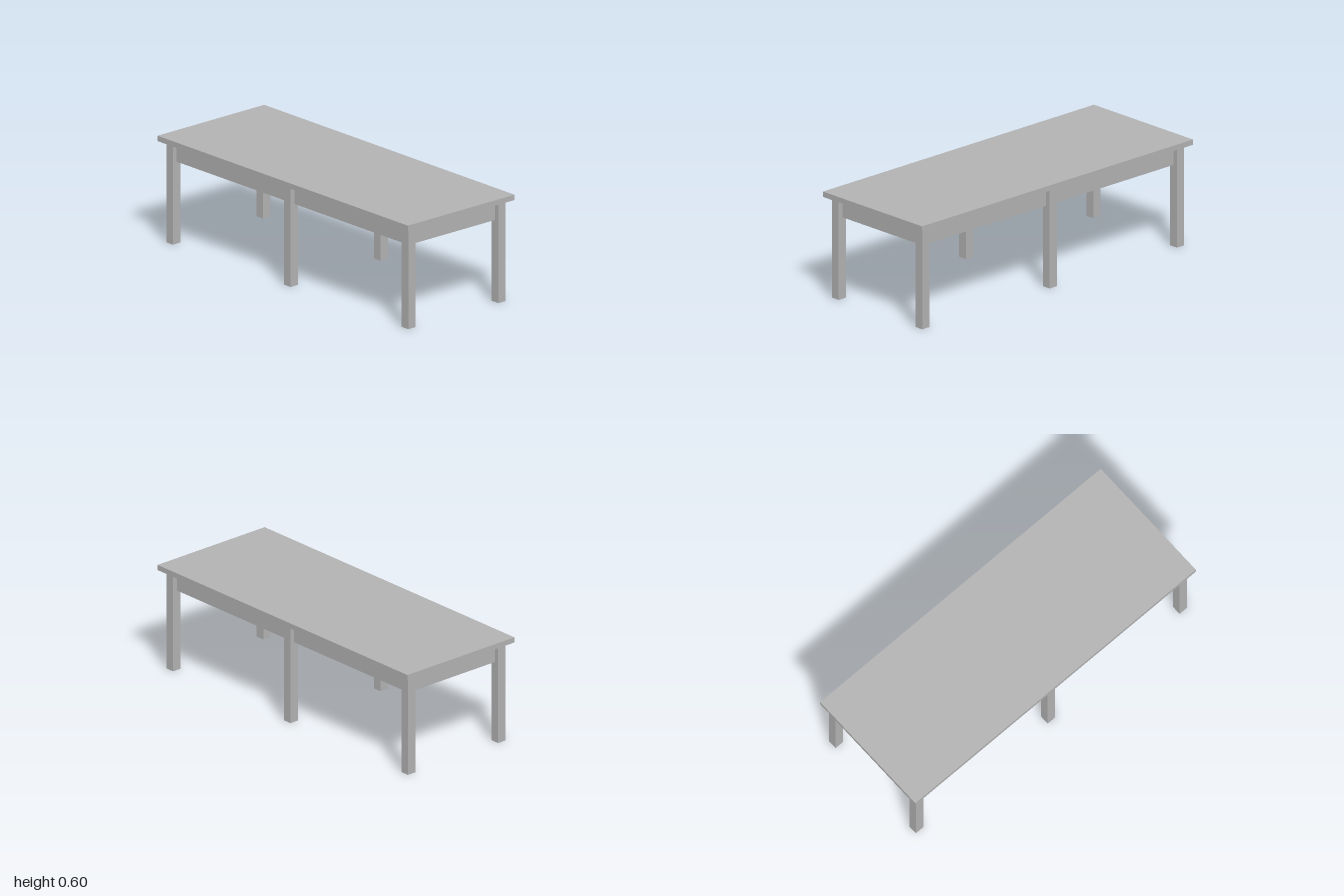
import * as THREE from 'three';

export function createModel() {
  const table = new THREE.Group();
  table.name = 'table';
  const grey = new THREE.MeshStandardMaterial({ color: 0xb2b2b2, side: THREE.DoubleSide });
  grey.name = 'grey';

  const add = (name, geometry, x, y, z) => {
    const mesh = new THREE.Mesh(geometry, grey);
    mesh.name = name;
    mesh.position.set(x, y, z);
    table.add(mesh);
  };

  const topY = 0.57, thickness = 0.03, apronY = 0.462, legWidth = 0.053;
  const legX = 0.94, legZ = 0.323;

  // Table top and the closed apron block, whose sides run through the leg centres
  add('tableTop', new THREE.BoxGeometry(2, thickness, 0.766), 0, topY + thickness / 2, 0);
  add('apron', new THREE.BoxGeometry(2 * legX, topY - apronY, 2 * legZ), 0, (topY + apronY) / 2, 0);

  // Six square tube legs, open at both ends
  const legGeometry = new THREE.CylinderGeometry(legWidth / Math.SQRT2, legWidth / Math.SQRT2, topY, 4, 1, true)
    .rotateY(Math.PI / 4).toNonIndexed();
  legGeometry.computeVertexNormals();
  for (const [end, x] of [['Right', -legX], ['Middle', 0], ['Left', legX]]) {
    for (const [side, z] of [['front', legZ], ['back', -legZ]]) {
      add(`${side}${end}Leg`, legGeometry, x, topY / 2, z);
    }
  }
  return table;
}
